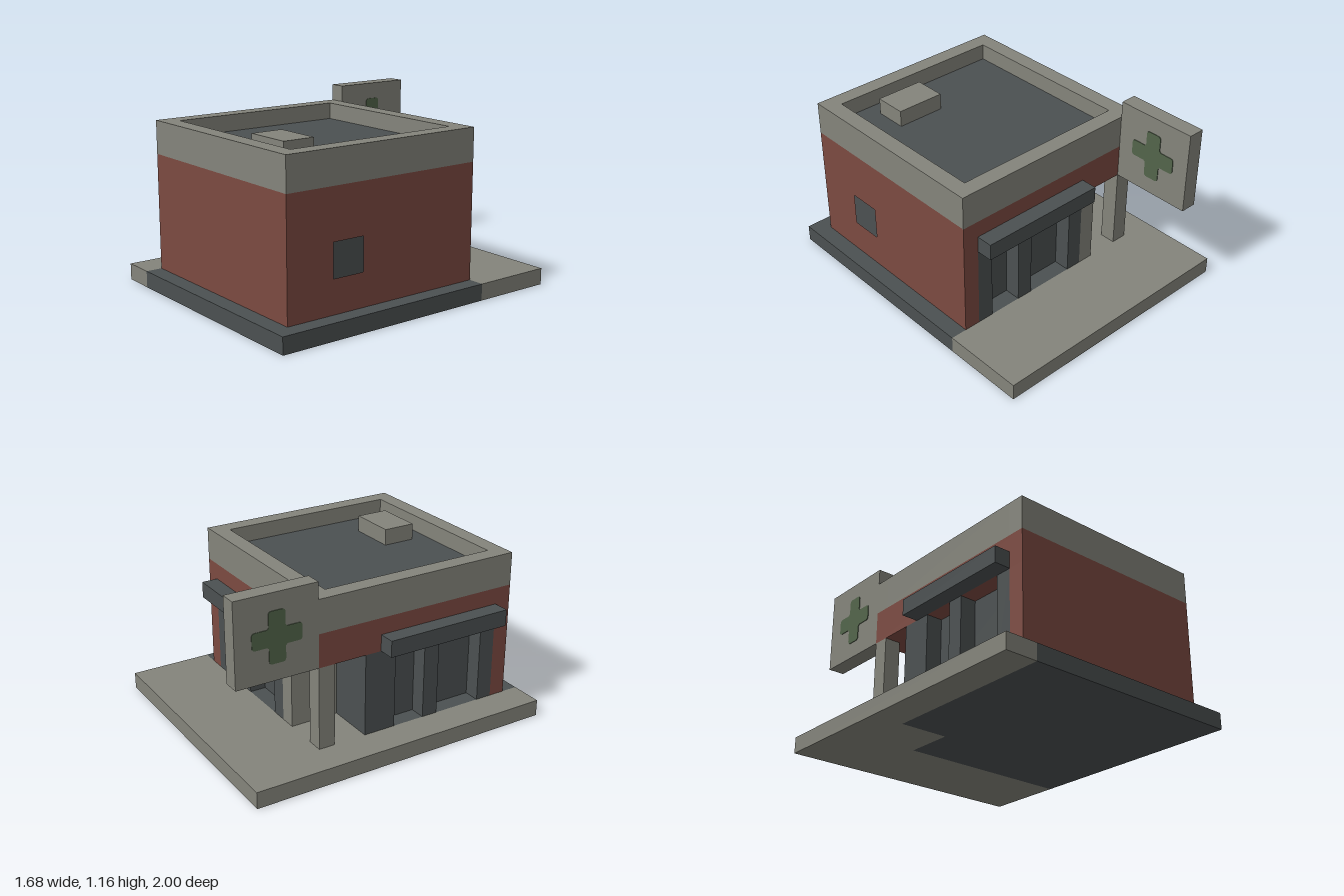
import * as THREE from 'three';

// Everything sits on a grid of 16 x 11 x 19 cells, 2 units along z
const U = 2 / 19;
const X = i => (i - 8) * U;
const Y = j => j * U;
const Z = k => (k - 9.5) * U;

const paint = (name, color) => {
  const m = new THREE.MeshStandardMaterial({ color });
  m.name = name;
  return m;
};

export function createModel() {
  const grey = paint('concreteGrey', 0x84847b);
  const dark = paint('slateDark', 0x4b5051);
  const red = paint('brickRed', 0x7c4a41);
  const green = paint('signGreen', 0x52644a);

  const model = new THREE.Group();
  model.name = 'cornerShop';

  const add = (name, geometry, material) => {
    const mesh = new THREE.Mesh(geometry, material);
    mesh.name = name;
    model.add(mesh);
    return mesh;
  };
  // Box between grid cells
  const box = (name, mat, x0, x1, y0, y1, z0, z1) => {
    const g = new THREE.BoxGeometry((x1 - x0) * U, (y1 - y0) * U, (z1 - z0) * U);
    g.translate(X((x0 + x1) / 2), Y((y0 + y1) / 2), Z((z0 + z1) / 2));
    return add(name, g, mat);
  };

  // Ground: pavement around the corner, running into the entrance recess
  box('sidePavement', grey, 0, 2, 0, 1, 0, 19);
  box('backPavement', grey, 2, 16, 0, 1, 0, 5);
  box('entranceFloor', grey, 2, 5, 0, 1, 5, 8);
  box('mainFoundation', dark, 5, 16, 0, 1, 5, 19);
  box('sideFoundation', dark, 2, 5, 0, 1, 8, 19);

  // Brick walls
  box('frontWall', red, 2, 15, 1, 6, 17, 18);
  box('upperWall', red, 2, 15, 6, 8, 5, 18);

  // Window wall, drawn in (-z, y) and turned to face +x
  const rect = (Type, z0, z1, y0, y1) => {
    const p = new Type();
    p.moveTo(-Z(z0), Y(y0));
    p.lineTo(-Z(z1), Y(y0));
    p.lineTo(-Z(z1), Y(y1));
    p.lineTo(-Z(z0), Y(y1));
    p.closePath();
    return p;
  };
  const wallShape = rect(THREE.Shape, 5, 17, 1, 6);
  wallShape.holes.push(rect(THREE.Path, 13, 15, 3, 5));
  const wallGeo = new THREE.ExtrudeGeometry(wallShape, { depth: U, bevelEnabled: false });
  wallGeo.rotateY(Math.PI / 2).translate(X(14), 0, 0);
  add('windowWall', wallGeo, red);

  // Dark glazing set back behind the frames, and the entrance door plane
  box('shopGlazing', dark, 6, 14, 1, 6, 6, 17);
  box('sideGlazing', dark, 3, 6, 1, 6, 8, 17);

  // Shop window frames
  for (const i of [6, 10, 13]) box('backMullion', dark, i, i + 1, 1, 6, 5, 6);
  for (const [k0, k1] of [[8, 10], [12, 13], [16, 17]]) box('sideMullion', dark, 2, 3, 1, 6, k0, k1);

  // Entrance
  box('entranceWall', grey, 5, 6, 1, 6, 5, 8);
  box('cornerPost', grey, 2, 3, 1, 6, 5, 6);

  // Awnings
  box('backAwning', dark, 6, 14, 6, 7, 4, 5);
  box('sideAwning', dark, 1, 2, 6, 7, 9, 17);

  // Roof and parapet
  box('roofDeck', dark, 3, 14, 8, 9, 6, 17);
  box('backParapet', grey, 2, 15, 8, 10, 5, 6);
  box('frontParapet', grey, 2, 15, 8, 10, 17, 18);
  box('leftParapet', grey, 14, 15, 8, 10, 6, 17);
  box('rightParapet', grey, 2, 3, 8, 10, 6, 17);
  box('roofUnit', grey, 9, 12, 9, 10, 14, 16);

  // Projecting sign with a softened cross on both faces
  box('signBoard', grey, 2, 3, 6, 11, 0, 5);
  const a = 1.5 * U, b = 0.5 * U, c = 0.2 * U;
  const cross = new THREE.Shape();
  cross.moveTo(a, -b + c);
  for (let q = 0; q < 4; q++) {
    const cos = Math.round(Math.cos(q * Math.PI / 2)), sin = Math.round(Math.sin(q * Math.PI / 2));
    const r = (x, y) => [x * cos - y * sin, x * sin + y * cos];
    cross.lineTo(...r(a, b - c));
    cross.quadraticCurveTo(...r(a, b), ...r(a - c, b));
    cross.lineTo(...r(b + c / 2, b));
    cross.lineTo(...r(b, b + c / 2));
    cross.lineTo(...r(b, a - c));
    cross.quadraticCurveTo(...r(b, a), ...r(b - c, a));
  }
  const crossGeo = new THREE.ExtrudeGeometry(cross, { depth: 0.004, bevelEnabled: false, curveSegments: 4 });
  for (const [x, turn] of [[3, 1], [2, -1]]) {
    const plate = add('signCross', crossGeo, green);
    plate.rotation.y = turn * Math.PI / 2;
    plate.position.set(X(x), Y(8.5), Z(2.5));
  }

  return model;
}
